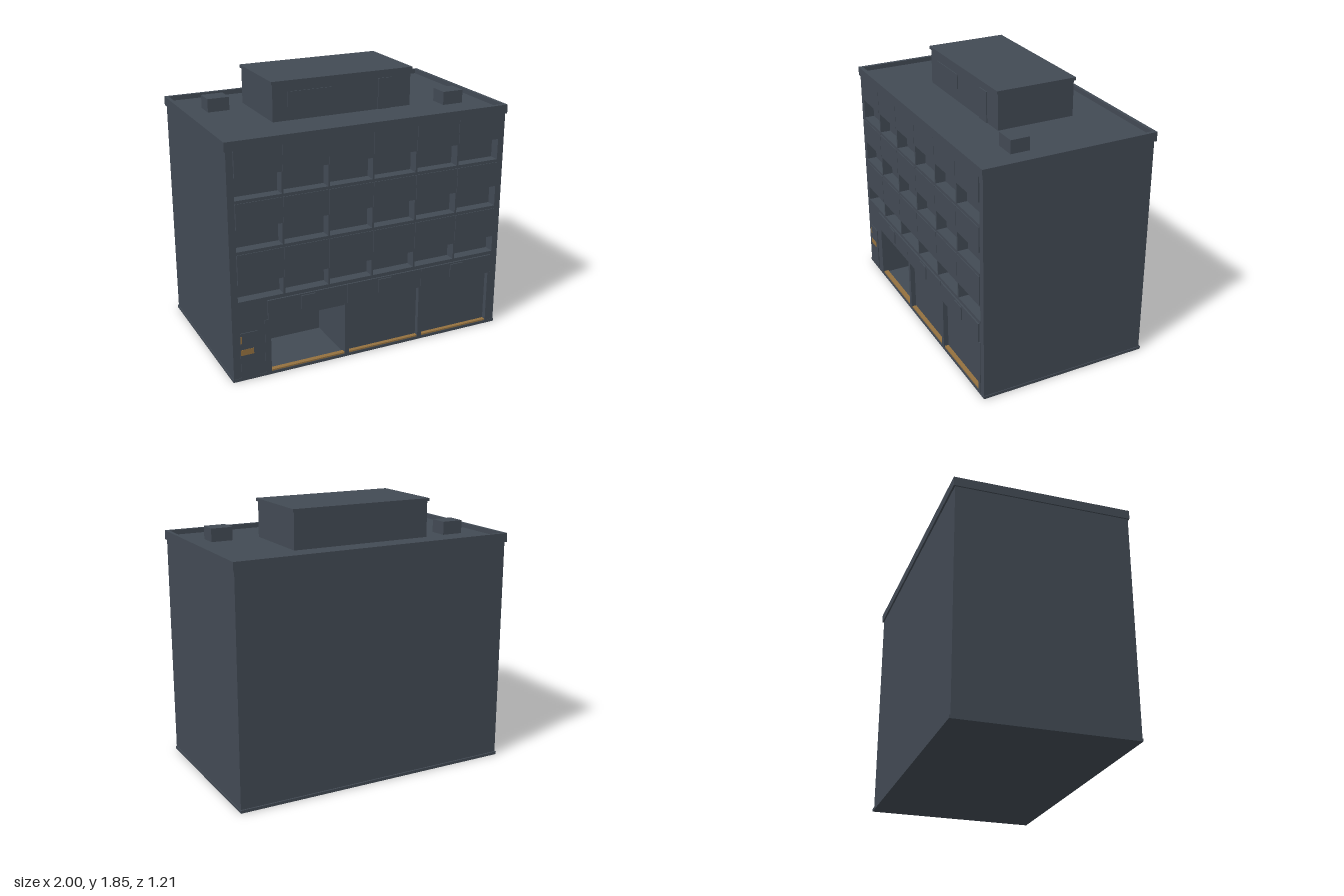
import * as THREE from 'three';

export function createModel() {
  const model = new THREE.Group();
  model.name = 'building';
  const slate = new THREE.MeshStandardMaterial({ color: 0x424a54 });
  slate.name = 'slate';
  const brass = new THREE.MeshStandardMaterial({ color: 0x94713f });
  brass.name = 'brass';

  // Box given by its min and max on each axis
  function block(name, x0, x1, y0, y1, z0, z1, material = slate) {
    const mesh = new THREE.Mesh(new THREE.BoxGeometry(x1 - x0, y1 - y0, z1 - z0), material);
    mesh.position.set((x0 + x1) / 2, (y0 + y1) / 2, (z0 + z1) / 2);
    mesh.name = name;
    model.add(mesh);
  }

  // Plinth and ground floor, with a deep entrance in the first bay
  block('plinth', -0.995, 0.995, 0, 0.02, -0.605, 0.592);
  block('groundRear', -0.99, 0.99, 0.02, 0.4, -0.595, 0.18);
  block('groundLeftEnd', -0.99, -0.73, 0.02, 0.4, 0.18, 0.59);
  block('shopInterior', -0.2, 0.99, 0.02, 0.4, 0.18, 0.56);
  block('entranceLintel', -0.73, -0.2, 0.38, 0.4, 0.18, 0.58);
  block('fasciaWall', -0.99, 0.99, 0.4, 0.545, -0.595, 0.59);
  block('sideDoor', -0.94, -0.82, 0.02, 0.34, 0.59, 0.596);
  block('doorPlate', -0.94, -0.85, 0.185, 0.225, 0.596, 0.598, brass);
  block('doorHandle', -0.94, -0.93, 0.27, 0.32, 0.596, 0.598, brass);

  // Shopfront piers, thresholds, fascias and small sign plates
  for (const [x0, x1] of [[-0.77, -0.73], [-0.2, -0.17], [0.36, 0.39], [0.92, 0.945]])
    block('shopPier', x0, x1, 0.02, 0.4, 0.55, 0.594);
  block('rightEndPier', 0.945, 0.99, 0.02, 0.4, 0.55, 0.59);
  for (let i = 0; i < 3; i++) {
    const x = -0.73 + i * 0.56;
    block('threshold', x, x + 0.53, 0.02, 0.03, 0.555, 0.588, brass);
    block('fascia', x - 0.018, x + 0.54, 0.4, 0.535, 0.59, 0.6);
    block('signPlate', x + 0.21, x + 0.31, 0.43, 0.525, 0.6, 0.607);
  }

  // Upper floors: open recesses below proud panels
  block('upperCore', -0.99, 0.99, 0.545, 1.575, -0.595, 0.52);
  for (const s of [-1, 1])
    block('endPier', s < 0 ? -0.99 : 0.945, s < 0 ? -0.945 : 0.99, 0.545, 1.56, 0.52, 0.59);
  const floors = [[0.545, 0.56, 0.675, 0.88], [0.88, 0.9, 1.045, 1.215], [1.215, 1.235, 1.38, 1.555]];
  for (const [slab, sill, head, top] of floors) {
    block('floorSlab', -0.945, 0.945, slab, sill, 0.52, 0.592);
    for (let i = 0; i < 6; i++) {
      const x = -0.945 + i * 0.315;
      block('upperPanel', x + 0.002, x + 0.313, head, top, 0.52, 0.597);
      if (i) block('divider', x - 0.006, x + 0.006, sill, top, 0.52, 0.592);
    }
  }

  // Parapet around the roof deck
  block('frontParapet', -1, 1, 1.55, 1.612, 0.57, 0.598);
  block('rearParapet', -1, 1, 1.55, 1.612, -0.607, -0.585);
  block('rightParapet', -1, -0.975, 1.55, 1.612, -0.585, 0.57);
  block('leftParapet', 0.975, 1, 1.55, 1.612, -0.585, 0.57);
  block('roofDeck', -0.975, 0.975, 1.55, 1.58, -0.585, 0.57);

  // Rooftop room and vents
  block('roofRoom', -0.535, 0.465, 1.58, 1.825, -0.325, 0.22);
  block('roofRoomCap', -0.545, 0.475, 1.825, 1.845, -0.335, 0.23);
  block('roofRoomDoor', 0.22, 0.32, 1.58, 1.79, 0.22, 0.227);
  block('roofRoomWindow', -0.43, -0.11, 1.67, 1.77, 0.22, 0.226);
  block('roofVent', -0.83, -0.68, 1.58, 1.67, -0.315, -0.185);
  block('roofVent', 0.67, 0.82, 1.58, 1.67, 0.19, 0.32);
  return model;
}
